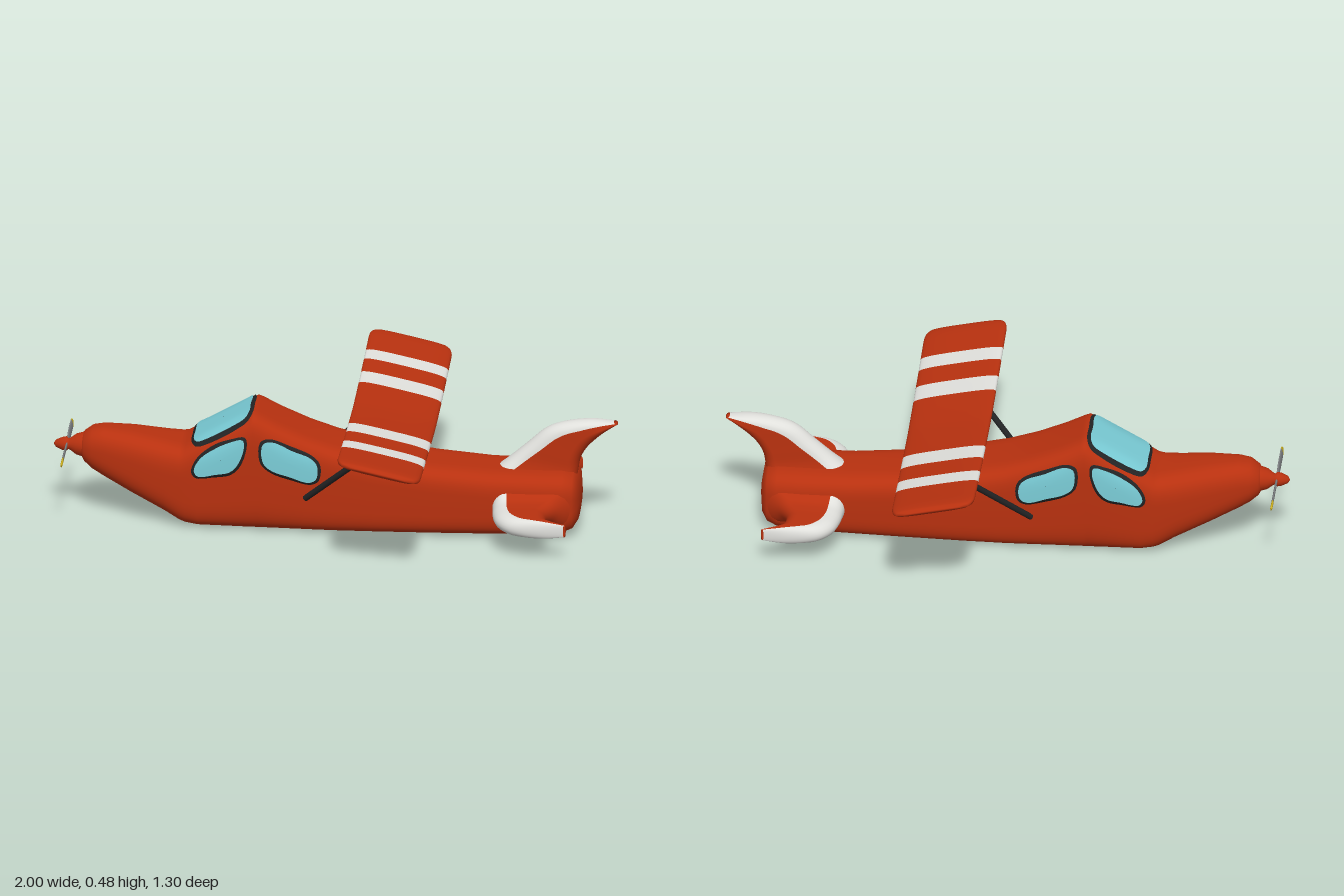
import * as THREE from 'three';

const V = (x, y, z) => new THREE.Vector3(x, y, z);
const paint = (name, color) => new THREE.MeshStandardMaterial({ name, color, side: THREE.DoubleSide });

// Fuselage stations: x, bottom, top, half width, squareness
const STATIONS = [
  [-0.905, 0.225, 0.285, 0.03, 2], [-0.89, 0.2, 0.308, 0.055, 2.2], [-0.86, 0.175, 0.328, 0.072, 2.4],
  [-0.82, 0.152, 0.333, 0.082, 2.6], [-0.72, 0.1, 0.325, 0.104, 3], [-0.6, 0.042, 0.306, 0.126, 3.5],
  [-0.545, 0.013, 0.298, 0.136, 4], [-0.525, 0.007, 0.3, 0.139, 4.2], [-0.48, 0.002, 0.325, 0.143, 4.7],
  [-0.295, 0, 0.43, 0.147, 5], [-0.283, 0, 0.437, 0.147, 5], [-0.265, 0, 0.43, 0.147, 5],
  [-0.2, 0, 0.396, 0.147, 5], [-0.1, 0, 0.352, 0.147, 5], [0, 0, 0.318, 0.147, 5],
  [0.15, 0, 0.285, 0.145, 4.7], [0.35, 0, 0.256, 0.139, 4.3], [0.55, 0.002, 0.241, 0.135, 4],
  [0.72, 0.006, 0.24, 0.135, 3.8], [0.81, 0.014, 0.24, 0.132, 3.6], [0.845, 0.028, 0.232, 0.122, 3.4],
  [0.863, 0.055, 0.21, 0.1, 3], [0.87, 0.1, 0.165, 0.05, 2.4],
];

function stationAt(x) {
  const i = Math.max(1, STATIONS.findIndex((s) => s[0] >= x));
  const a = STATIONS[i - 1], b = STATIONS[i];
  const t = (x - a[0]) / (b[0] - a[0]);
  return a.map((v, k) => v + (b[k] - v) * t);
}

// Points on the fuselage skin, seen from the side and from the top
const arc = (t, n) => Math.pow(Math.max(0, 1 - Math.pow(Math.min(1, Math.abs(t)), n)), 1 / n);
function skinZ(x, y) {
  const [, lo, hi, w, n] = stationAt(x);
  return w * arc((y - (lo + hi) / 2) / ((hi - lo) / 2), n);
}
function skinTop(x, z) {
  const [, lo, hi, w, n] = stationAt(x);
  return (lo + hi) / 2 + ((hi - lo) / 2) * arc(z / w, n);
}

// Skin through rings of points, with optional end caps
function loft(name, rings, material, closed = true, capStart = false, capEnd = false) {
  const all = rings.slice();
  const collapse = (r) => {
    const c = r.reduce((s, p) => s.add(p), V(0, 0, 0)).divideScalar(r.length);
    return r.map(() => c);
  };
  if (capStart) all.unshift(collapse(rings[0]));
  if (capEnd) all.push(collapse(rings[rings.length - 1]));
  const n = all[0].length, index = [];
  for (let i = 0; i < all.length - 1; i++) {
    for (let j = 0; j < (closed ? n : n - 1); j++) {
      const k = (j + 1) % n, a = i * n + j, b = i * n + k, c = a + n, d = b + n;
      index.push(a, c, b, b, c, d);
    }
  }
  const g = new THREE.BufferGeometry().setFromPoints(all.flat());
  g.setIndex(index);
  g.computeVertexNormals();
  const m = new THREE.Mesh(g, material);
  m.name = name;
  return m;
}

// Tail surface between a leading and a trailing curve; points carry [x, span, half thickness]
function tailSurface(name, lead, trail, place, edgeMat, bodyMat) {
  const curve = (pts) => new THREE.CatmullRomCurve3(pts.map((p) => V(p[0], p[1], p[2] || 0)));
  const L = curve(lead), T = curve(trail), edge = [], body = [];
  for (let i = 0; i <= 28; i++) {
    const p = L.getPoint(i / 28), q = T.getPoint(i / 28), h = p.z;
    const chord = Math.hypot(q.x - p.x, q.y - p.y);
    const a = Math.min(0.05, chord * 0.4), b = Math.min(0.04, chord * 0.3);
    const at = (d, n) => place(p.x + (q.x - p.x) * d / chord, p.y + (q.y - p.y) * d / chord, n);
    const e = [], r = [];
    for (let k = 0; k <= 12; k++) {
      const f = (k / 12 - 0.5) * Math.PI;
      e.push(at(a - a * Math.cos(f), h * Math.sin(f)));
      r.push(at(chord - b + b * Math.cos(f), -h * Math.sin(f)));
    }
    edge.push(e);
    body.push([at(a, h), ...r, at(a, -h)]);
  }
  const g = new THREE.Group();
  g.name = name;
  g.add(loft(name + 'LeadingEdge', edge, edgeMat, false), loft(name + 'Body', body, bodyMat, false, false, true));
  return g;
}

// Window pane draped over the skin, with a dark rim behind it
function pane(name, outline, drape, glass, rim) {
  const curve = new THREE.CatmullRomCurve3(outline.map((p) => V(p[0], p[1], 0)), true, 'centripetal');
  const pts = curve.getPoints(48).slice(0, 48);
  const c = pts.reduce((s, p) => s.add(p), V(0, 0, 0)).divideScalar(48);
  const rings = (inset, lift) => [0.01, 0.25, 0.5, 0.75, 1].map((s) => pts.map((p) => {
    const d = p.clone().sub(c), len = d.length();
    d.multiplyScalar(s * (len - inset) / len).add(c);
    return drape(d.x, d.y, lift);
  }));
  const g = new THREE.Group();
  g.name = name;
  const rimRings = rings(0, 0.004);
  rimRings.push(rings(0, -0.008)[4]);
  g.add(loft(name + 'Rim', rimRings, rim), loft(name + 'Glass', rings(0.011, 0.007), glass));
  return g;
}

function rod(name, a, b, radius, material) {
  const m = new THREE.Mesh(new THREE.CylinderGeometry(radius, radius, a.distanceTo(b), 12), material);
  m.position.copy(a).add(b).multiplyScalar(0.5);
  m.quaternion.setFromUnitVectors(V(0, 1, 0), b.clone().sub(a).normalize());
  m.name = name;
  return m;
}

// Wing section at span position z: tilted, bowed upward, rounded at the tips
function wingRing(z) {
  const t = Math.max(0, (Math.abs(z) - 0.575) / 0.075);
  const round = Math.pow(Math.max(0, 1 - Math.pow(t, 2.6)), 1 / 2.6);
  const half = 0.147 - 0.05 * (1 - round), thick = 0.004 + 0.013 * round;
  const y = 0.405 + 0.037 * Math.pow(Math.abs(z) / 0.65, 1.4);
  return Array.from({ length: 32 }, (_, k) => {
    const f = (k / 32) * Math.PI * 2, cx = Math.cos(f), sy = Math.sin(f);
    const dx = half * Math.sign(cx) * Math.pow(Math.abs(cx), 0.6);
    const dy = thick * Math.sign(sy) * Math.pow(Math.abs(sy), 0.6);
    return V(0.208 + dx, y - dx * 0.22 + dy, z);
  });
}

export function createModel() {
  const red = paint('red', 0xb8310f), white = paint('white', 0xe0e0dc), glass = paint('glass', 0x7accd6);
  const dark = paint('dark', 0x222324), grey = paint('grey', 0x85878a), yellow = paint('yellow', 0xd2b41e);
  const model = new THREE.Group();
  model.name = 'airplane';

  // Fuselage
  const hull = STATIONS.map(([x, lo, hi, w, n]) => Array.from({ length: 64 }, (_, k) => {
    const f = (k / 64) * Math.PI * 2, c = Math.cos(f), s = Math.sin(f);
    const p = (v) => Math.sign(v) * Math.pow(Math.abs(v), 2 / n);
    return V(x, (lo + hi) / 2 + ((hi - lo) / 2) * p(s), w * p(c));
  }));
  model.add(loft('fuselage', hull, red, true, true, true));

  // Spinner
  const profile = [[0.05, -0.02], [0.046, 0.02], [0.037, 0.05], [0.021, 0.072], [0.02, 0.078], [0.026, 0.085],
    [0.023, 0.1], [0.013, 0.122], [0, 0.13]].map(([r, d]) => new THREE.Vector2(r, d));
  const spinner = new THREE.Mesh(new THREE.LatheGeometry(profile, 24), red);
  spinner.name = 'spinner';
  spinner.rotation.z = Math.PI / 2;
  spinner.position.set(-0.87, 0.258, 0);
  model.add(spinner);

  // Propeller blades with painted tips
  const bladeRing = (side) => ([z, h]) => Array.from({ length: 16 }, (_, k) => {
    const f = (k / 16) * Math.PI * 2;
    return V(-0.953 + 0.004 * Math.cos(f) + side * 0.15 * h * Math.sin(f), 0.26 + h * Math.sin(f), side * z);
  });
  for (const side of [1, -1]) {
    const ring = bladeRing(side);
    model.add(loft('propellerBlade', [[0.005, 0.008], [0.05, 0.013], [0.1, 0.018], [0.18, 0.018]].map(ring), grey));
    model.add(loft('propellerTip', [[0.18, 0.018], [0.195, 0.016], [0.205, 0.011], [0.21, 0.004]].map(ring), yellow, true, false, true));
  }

  // Wing in painted bands
  const cuts = [-0.65, -0.465, -0.39, -0.285, -0.195, 0.195, 0.285, 0.39, 0.465, 0.65];
  for (let i = 0; i < cuts.length - 1; i++) {
    const rings = Array.from({ length: 21 }, (_, k) => wingRing(cuts[i] + (cuts[i + 1] - cuts[i]) * k / 20));
    model.add(loft(i % 2 ? 'wingStripe' : 'wingPanel', rings, i % 2 ? white : red, true, i === 0, i === 8));
  }

  // Fin
  model.add(tailSurface('fin',
    [[0.55, 0.215, 0.06], [0.615, 0.268, 0.046], [0.68, 0.325, 0.043], [0.745, 0.382, 0.041], [0.8, 0.405, 0.04],
      [0.9, 0.42, 0.035], [0.985, 0.415, 0.018]],
    [[0.855, 0.19], [0.86, 0.235], [0.868, 0.275], [0.89, 0.315], [0.92, 0.347], [0.955, 0.377], [1, 0.407]],
    (x, y, n) => V(x, y, n), white, red));

  for (const side of [1, -1]) {
    // Tailplane
    model.add(tailSurface('tailplane',
      [[0.565, 0.12, 0.065], [0.57, 0.165, 0.042], [0.575, 0.21, 0.036], [0.595, 0.275, 0.035], [0.64, 0.32, 0.034],
        [0.74, 0.336, 0.032], [0.835, 0.332, 0.022]],
      [[0.845, 0.12], [0.795, 0.158], [0.768, 0.2], [0.765, 0.235], [0.775, 0.275], [0.8, 0.305], [0.845, 0.325]],
      (x, s, n) => V(x, 0.122 + n, side * s), white, red));

    // Side windows
    const sideDrape = (x, y, lift) => V(x, y, side * (skinZ(x, y) + lift));
    model.add(pane('frontSideWindow', [[-0.5, 0.225], [-0.48, 0.275], [-0.42, 0.325], [-0.36, 0.35], [-0.31, 0.36],
      [-0.302, 0.335], [-0.325, 0.255], [-0.36, 0.22], [-0.42, 0.208], [-0.485, 0.203]], sideDrape, glass, dark));
    model.add(pane('rearSideWindow', [[-0.255, 0.345], [-0.225, 0.357], [-0.15, 0.333], [-0.065, 0.295], [-0.042, 0.265],
      [-0.047, 0.21], [-0.075, 0.194], [-0.14, 0.207], [-0.22, 0.235], [-0.255, 0.27]], sideDrape, glass, dark));

    // Wing struts
    const foot = V(-0.095, 0.14, side * 0.145), top = V(0.18, 0.412, side * 0.32);
    model.add(rod('strut', foot, top, 0.011, dark));
    model.add(rod('strutBrace', foot.clone().lerp(top, 0.8), V(0.15, 0.41, side * 0.2), 0.007, dark));
  }

  // Windshield
  model.add(pane('windshield', [[-0.505, 0], [-0.502, 0.08], [-0.485, 0.113], [-0.45, 0.122], [-0.34, 0.122], [-0.302, 0.113],
    [-0.288, 0.08], [-0.287, 0], [-0.288, -0.08], [-0.302, -0.113], [-0.34, -0.122], [-0.45, -0.122], [-0.485, -0.113],
    [-0.502, -0.08]], (x, z, lift) => V(x - lift * 0.5, skinTop(x, z) + lift, z), glass, dark));

  return model;
}
